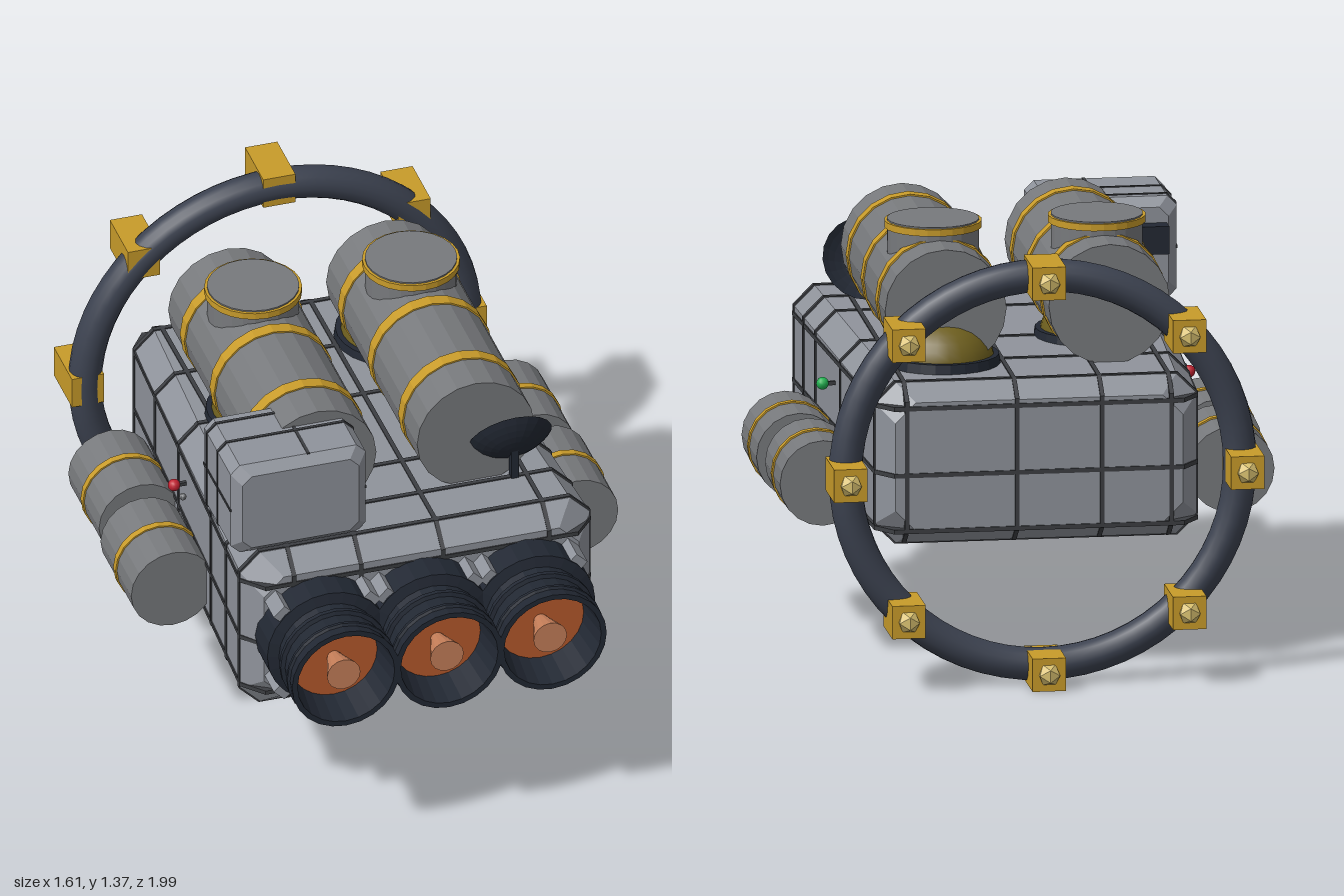
import * as THREE from 'three';

const mat = (color, flat = true) =>
  new THREE.MeshStandardMaterial({ color, flatShading: flat, side: THREE.DoubleSide });
const HULL = mat(0x8f939b), TANK = mat(0x77797c), SEAM = mat(0x3c3e42), GOLD = mat(0xc89b2a);
const DARK = mat(0x222833), RING = mat(0x3c4250, false), ORANGE = mat(0xb85a2c), COPPER = mat(0xc8805a);
const STUD = mat(0xd8c070), OLIVE = mat(0x6e5f1e, false), RED = mat(0xc02030, false), GREEN = mat(0x20b050, false);

export function createModel() {
  const root = new THREE.Group();
  const add = (name, geo, material, x = 0, y = 0, z = 0, parent = root) => {
    const m = new THREE.Mesh(geo, material);
    m.name = name;
    m.position.set(x, y, z);
    parent.add(m);
    return m;
  };
  const box = (w, h, d) => new THREE.BoxGeometry(w, h, d);
  const cylZ = (r, len, n = 20, r2 = r) => new THREE.CylinderGeometry(r, r2, len, n).rotateX(Math.PI / 2);

  // Chamfered rectangle cross-section, counter-clockwise seen from +z
  const section = (z, cx, hw, y0, y1, c) => [
    [cx - hw + c, y0, z], [cx + hw - c, y0, z], [cx + hw, y0 + c, z], [cx + hw, y1 - c, z],
    [cx + hw - c, y1, z], [cx - hw + c, y1, z], [cx - hw, y1 - c, z], [cx - hw, y0 + c, z]];
  // Capped skin over sections ordered from back to front
  const loft = (rows) => {
    const n = rows[0].length, idx = [], last = (rows.length - 1) * n;
    for (let r = 0; r < rows.length - 1; r++)
      for (let i = 0; i < n; i++) {
        const a = r * n + i, b = r * n + (i + 1) % n;
        idx.push(a, b, a + n, b, b + n, a + n);
      }
    for (let i = 1; i < n - 1; i++) idx.push(0, i + 1, i, last, last + i, last + i + 1);
    const g = new THREE.BufferGeometry();
    g.setAttribute('position', new THREE.Float32BufferAttribute(rows.flat(2), 3));
    g.setIndex(idx);
    const flat = g.toNonIndexed();
    flat.computeVertexNormals();
    return flat;
  };

  // Tapered hull
  const hullAt = (z, inset = 0) => {
    const t = (0.64 - z) / 1.32;
    return section(z, 0, 0.575 - 0.065 * t - inset, 0.4 + 0.03 * t + inset, 0.965 - 0.02 * t - inset, 0.065);
  };
  add('hull', loft([hullAt(-0.75, 0.05), hullAt(-0.68), hullAt(0.64), hullAt(0.71, 0.06)]), HULL);

  // Panel seams: thin slices of the hull outline standing just proud of its skin
  for (const z of [-0.67, -0.41, -0.12, 0.28, 0.47, 0.63])
    add('crossSeam', loft([hullAt(z - 0.008, -0.004), hullAt(z + 0.008, -0.004)]), SEAM);
  const slice = (pts) => new THREE.ExtrudeGeometry(
    new THREE.Shape(pts.map(p => new THREE.Vector2(...p))), { depth: 0.014, bevelEnabled: false });
  for (const x of [-0.42, -0.2, 0.07, 0.42]) {
    const g = slice([[-0.714, 0.46], [-0.642, 0.396], [0.68, 0.426], [0.754, 0.48],
      [0.754, 0.898], [0.68, 0.949], [-0.642, 0.969], [-0.714, 0.905]]).rotateY(Math.PI / 2);
    add('lengthSeam', g, SEAM, x - 0.007);
  }
  for (const y of [0.48, 0.66, 0.875]) {
    const half = [[0.515, -0.714], [0.579, -0.642], [0.514, 0.68], [0.46, 0.754]];
    const g = slice([...half, ...half.map(([x, z]) => [-x, z]).reverse()]).rotateX(-Math.PI / 2);
    add('levelSeam', g, SEAM, 0, y - 0.007);
  }

  // Three engines with ribbed bells
  const bell = [[0.2, 0.68], [0.2, 0.81], [0.165, 0.82], [0.16, 0.86], [0.178, 0.865], [0.178, 0.88],
    [0.165, 0.885], [0.17, 0.94], [0.18, 0.945], [0.18, 0.955], [0.172, 0.96], [0.178, 1.0],
    [0.16, 1.0], [0.14, 0.84]].map(p => new THREE.Vector2(...p));
  for (const x of [-0.34, 0, 0.34]) {
    const engine = new THREE.Group();
    engine.name = 'engine';
    engine.position.set(x, 0.685, 0);
    root.add(engine);
    add('engineBell', new THREE.LatheGeometry(bell, 24).rotateX(Math.PI / 2), DARK, 0, 0, 0, engine);
    add('engineLining', cylZ(0.143, 0.06, 24, 0.06), ORANGE, 0, 0, 0.84, engine);
    add('enginePlug', cylZ(0.055, 0.11, 16, 0.02), COPPER, 0, 0, 0.92, engine);
    for (let i = 0; i < 4; i++) {
      const a = Math.PI / 4 + i * Math.PI / 2;
      add('engineLug', box(0.05, 0.05, 0.11), HULL, 0.2 * Math.cos(a), 0.2 * Math.sin(a), 0.75, engine).rotation.z = a;
    }
  }

  // Rear ring with eight clamps, each carrying a faceted stud
  add('rearRing', new THREE.TorusGeometry(0.626, 0.053, 16, 64), RING, 0, 0.683, -0.82);
  for (let i = 0; i < 8; i++) {
    const a = i * Math.PI / 4, x = 0.63 * Math.cos(a), y = 0.683 + 0.63 * Math.sin(a);
    add('ringClamp', box(0.106, 0.106, 0.19), GOLD, x, y, -0.87);
    add('clampStud', new THREE.IcosahedronGeometry(0.038), STUD, x, y, -0.962);
  }

  // Top tanks with straps and filler ports, and domes beneath them
  for (const s of [-1, 1]) {
    const x = s * 0.26;
    add('topTank', cylZ(0.193, 0.95), TANK, x, 1.133, -0.025);
    for (const z of [0.29, -0.03, -0.34]) add('tankStrap', cylZ(0.198, 0.045), GOLD, x, 1.133, z);
    add('tankPort', new THREE.CylinderGeometry(0.145, 0.145, 0.2, 24), TANK, x, 1.268, -0.225);
    add('portRim', new THREE.CylinderGeometry(0.154, 0.154, 0.022, 24), GOLD, x, 1.352, -0.225);
    const dz = s > 0 ? -0.42 : -0.12;
    add('domeBase', new THREE.CylinderGeometry(0.18, 0.185, 0.03, 24), DARK, x, 0.962, dz);
    add('dome', new THREE.SphereGeometry(0.165, 24, 8, 0, Math.PI * 2, 0, Math.PI / 2).scale(1, 0.85, 1), OLIVE, x, 0.955, dz);
  }

  // Side tanks and navigation lights
  for (const s of [-1, 1]) {
    for (const [x, z, band] of [[0.665, 0.06, 0.06], [0.648, -0.33, -0.335]]) {
      add('sideTank', cylZ(0.137, 0.32), TANK, s * x, 0.585, z);
      add('sideTankStrap', cylZ(0.142, 0.024), GOLD, s * x, 0.585, band);
    }
    add('lightStalk', box(0.05, 0.012, 0.012), SEAM, s * 0.56, 0.8, -0.03);
    add('navigationLight', new THREE.SphereGeometry(0.02, 12, 8), s > 0 ? GREEN : RED, s * 0.582, 0.8, -0.03);
  }
  add('sidePin', new THREE.SphereGeometry(0.012, 8, 6), TANK, -0.575, 0.8, 0.04);

  // Equipment box on the roof
  const pod = (z, d) => section(z, -0.374, 0.222 - d, 0.955 + d, 1.285 - d, 0.03);
  add('equipmentBox', loft([pod(0.3, 0.03), pod(0.33, 0), pod(0.605, 0), pod(0.635, 0.03)]), HULL);
  for (const z of [0.36, 0.47]) add('boxSeam', loft([
    section(z - 0.005, -0.374, 0.225, 0.952, 1.288, 0.03), section(z + 0.005, -0.374, 0.225, 0.952, 1.288, 0.03)]), SEAM);
  add('boxSeam', box(0.449, 0.01, 0.28), SEAM, -0.374, 1.12, 0.467);
  add('boxSeam', box(0.01, 0.335, 0.28), SEAM, -0.34, 1.12, 0.467);
  add('boxVent', box(0.14, 0.09, 0.07), DARK, -0.49, 1.16, 0.28);

  // Dish antenna, its bowl opening up and back
  const bowl = new THREE.SphereGeometry(0.213, 20, 6, 0, Math.PI * 2, 0, 0.7).translate(0, -0.163, 0);
  const dish = add('dish', bowl, DARK, 0.375, 1.09, 0.44);
  dish.rotation.x = 2.08;
  add('dishMast', box(0.025, 0.15, 0.025), DARK, 0.38, 1.02, 0.47);

  // Underside fittings: [x, z, width, height, depth]
  for (const [x, z, w, h, d] of [[-0.34, 0.3, 0.03, 0.04, 0.1], [-0.22, 0.1, 0.08, 0.02, 0.06],
    [0.05, 0.0, 0.14, 0.02, 0.05], [0.1, -0.22, 0.05, 0.02, 0.05], [-0.08, -0.4, 0.06, 0.02, 0.08],
    [-0.25, -0.2, 0.03, 0.025, 0.03], [0.2, -0.42, 0.04, 0.02, 0.04]])
    add('undersideFitting', box(w, h, d), SEAM, x, 0.403 + (0.64 - z) * 0.022 - h / 2, z);
  add('undersidePipe', cylZ(0.025, 0.14, 10), SEAM, 0.18, 0.388, 0.45);
  add('undersidePipe', cylZ(0.035, 0.2, 10), SEAM, 0.27, 0.378, 0.48);

  return root;
}
